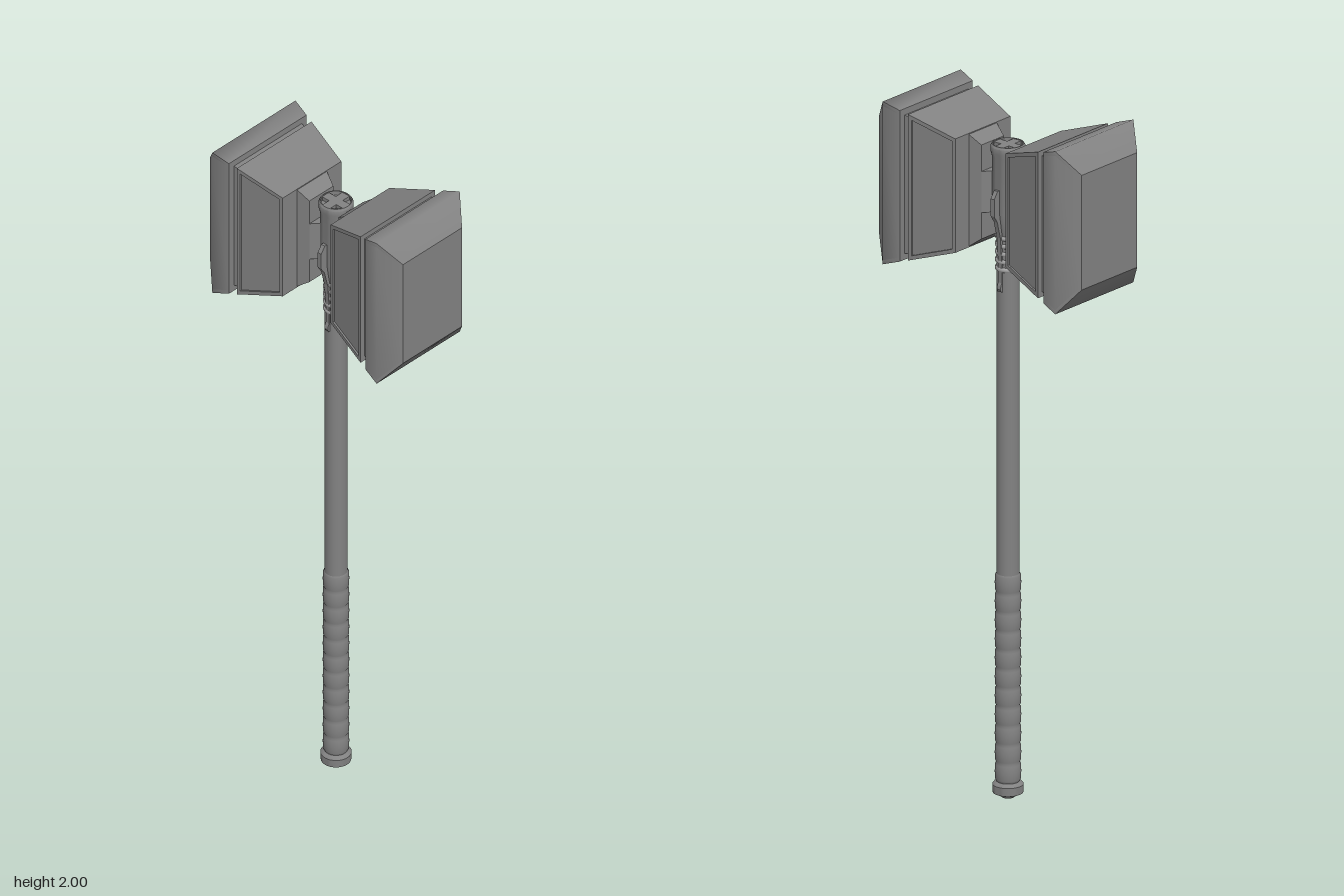
import * as THREE from 'three';
import { toCreasedNormals } from 'three/addons/utils/BufferGeometryUtils.js';

const HEAD_Y = 1.763;
const steel = new THREE.MeshStandardMaterial({ color: 0x828282 });
const paleSteel = new THREE.MeshStandardMaterial({ color: 0xa8a8a8 });

function add(parent, name, geometry, material = steel) {
  const mesh = new THREE.Mesh(geometry, material);
  mesh.name = name;
  parent.add(mesh);
  return mesh;
}

// Lofts rectangles along z. Ring: [z, halfWidth, halfHeight, side panel inset].
// Each side is its own strip, so corners stay sharp; smooth blends along z only.
function loft(rings, smooth = false, border = 0.012) {
  const pos = [], index = [], n = 12;
  const outlines = rings.map(([z, w, h, inset = 0]) => {
    const b = h - border;
    const half = [[w, -h], [w, -b], [w - inset, -b], [w - inset, b], [w, b], [w, h]];
    return [1, -1].flatMap((s) => half.map(([x, y]) => [s * x, s * y, z]));
  });
  const first = outlines[0], last = outlines[outlines.length - 1];
  for (let k = 0; k < n; k++) {
    const k2 = (k + 1) % n, start = pos.length / 3;
    outlines.forEach((ring, r) => {
      pos.push(...ring[k], ...ring[k2]);
      if (r === 0) return;
      const a = start + 2 * r - 2;
      index.push(a, a + 1, a + 3, a, a + 3, a + 2);
    });
    const cap = pos.length / 3;
    pos.push(0, 0, first[0][2], ...first[k2], ...first[k]);
    pos.push(0, 0, last[0][2], ...last[k], ...last[k2]);
    for (let i = 0; i < 6; i++) index.push(cap + i);
  }
  const geometry = new THREE.BufferGeometry();
  geometry.setAttribute('position', new THREE.Float32BufferAttribute(pos, 3));
  geometry.setIndex(index);
  const result = smooth ? geometry : geometry.toNonIndexed();
  result.computeVertexNormals();
  return result;
}

// Revolved shape; profile runs from bottom to top.
function lathe(profile) {
  return new THREE.LatheGeometry(profile.map(([r, y]) => new THREE.Vector2(r, y)), 32);
}

// Revolved shape with crisp edges
const crispLathe = (profile) => toCreasedNormals(lathe(profile), 0.6);

function hammerHalf() {
  const half = new THREE.Group();
  half.position.y = HEAD_Y;
  // Link and neck
  add(half, 'neck', loft([
    [0.03, 0.02, 0.06], [0.055, 0.048, 0.06], [0.055, 0.048, 0.137], [0.095, 0.061, 0.167],
  ]));
  // Wedge-shaped block with recessed side panels
  const block = (z, inset) => {
    const t = (z - 0.09) / 0.142;
    return [z, 0.117 + 0.032 * t, 0.166 + 0.047 * t, inset];
  };
  add(half, 'headBlock', loft([
    block(0.09, 0), block(0.1, 0), block(0.1, 0.006),
    block(0.222, 0.006), block(0.222, 0), block(0.232, 0),
  ]));
  // Groove and softly shaded striking face
  add(half, 'groove', loft([[0.225, 0.132, 0.197], [0.262, 0.136, 0.202]]));
  add(half, 'strikingFace', loft([
    [0.256, 0.155, 0.22], [0.308, 0.166, 0.237], [0.362, 0.118, 0.167],
  ], true));
  return half;
}

export function createModel() {
  const model = new THREE.Group();
  model.name = 'warHammer';

  // Two mirrored head halves
  for (const [name, turn] of [['frontHead', 0], ['backHead', Math.PI]]) {
    const half = hammerHalf();
    half.name = name;
    half.rotation.y = turn;
    model.add(half);
  }

  // Shaft and pommel
  add(model, 'shaft', lathe([[0.032, 0.03], [0.032, 1.7]]));
  add(model, 'pommel', crispLathe([
    [0, 0], [0.018, 0.002], [0.03, 0.012], [0.042, 0.016], [0.043, 0.04], [0.038, 0.046], [0.03, 0.05],
  ]));

  // Wrapped grip, one smooth run of shallow swells
  const wraps = 11, pitch = 0.055, gripProfile = [];
  for (let i = 0; i < wraps; i++) {
    const y = 0.05 + i * pitch;
    gripProfile.push([0.032, y], [0.0355, y + 0.006], [0.0365, y + pitch * 0.5], [0.0355, y + pitch - 0.006]);
  }
  gripProfile.push([0.0315, 0.05 + wraps * pitch]);
  add(model, 'grip', lathe(gripProfile));

  // Socket that holds the head, with a recessed top and a cross
  add(model, 'socket', crispLathe([
    [0.032, 1.64], [0.036, 1.66], [0.044, 1.71], [0.044, 1.87], [0.048, 1.885],
    [0.048, 1.9], [0.044, 1.906], [0.041, 1.906], [0.041, 1.893], [0, 1.893],
  ]));
  for (const [w, d] of [[0.08, 0.027], [0.027, 0.08]]) {
    add(model, 'topCross', new THREE.BoxGeometry(w, 0.014, d)).position.y = 1.897;
  }

  // Binding rings below the socket
  const ringGeometry = new THREE.TorusGeometry(0.031, 0.005, 8, 32);
  ringGeometry.scale(1, 1, 1.5).rotateX(Math.PI / 2);
  for (let i = 0; i < 5; i++) {
    add(model, 'bindingRing', ringGeometry, paleSteel).position.y = 1.545 + i * 0.023;
  }

  // Slim side ribs ending in a small knob
  const rib = new THREE.Shape([
    [0.028, 1.48], [0.036, 1.482], [0.04, 1.49], [0.038, 1.5], [0.034, 1.508], [0.034, 1.56],
    [0.04, 1.64], [0.053, 1.69], [0.066, 1.71], [0.066, 1.76], [0.052, 1.78], [0.03, 1.78],
  ].map(([x, y]) => new THREE.Vector2(x, y)));
  const ribGeometry = new THREE.ExtrudeGeometry(rib, { depth: 0.013, bevelEnabled: false });
  ribGeometry.translate(0, 0, -0.0065);
  for (const turn of [0, Math.PI]) {
    add(model, 'sideRib', ribGeometry).rotation.y = turn;
  }
  return model;
}
